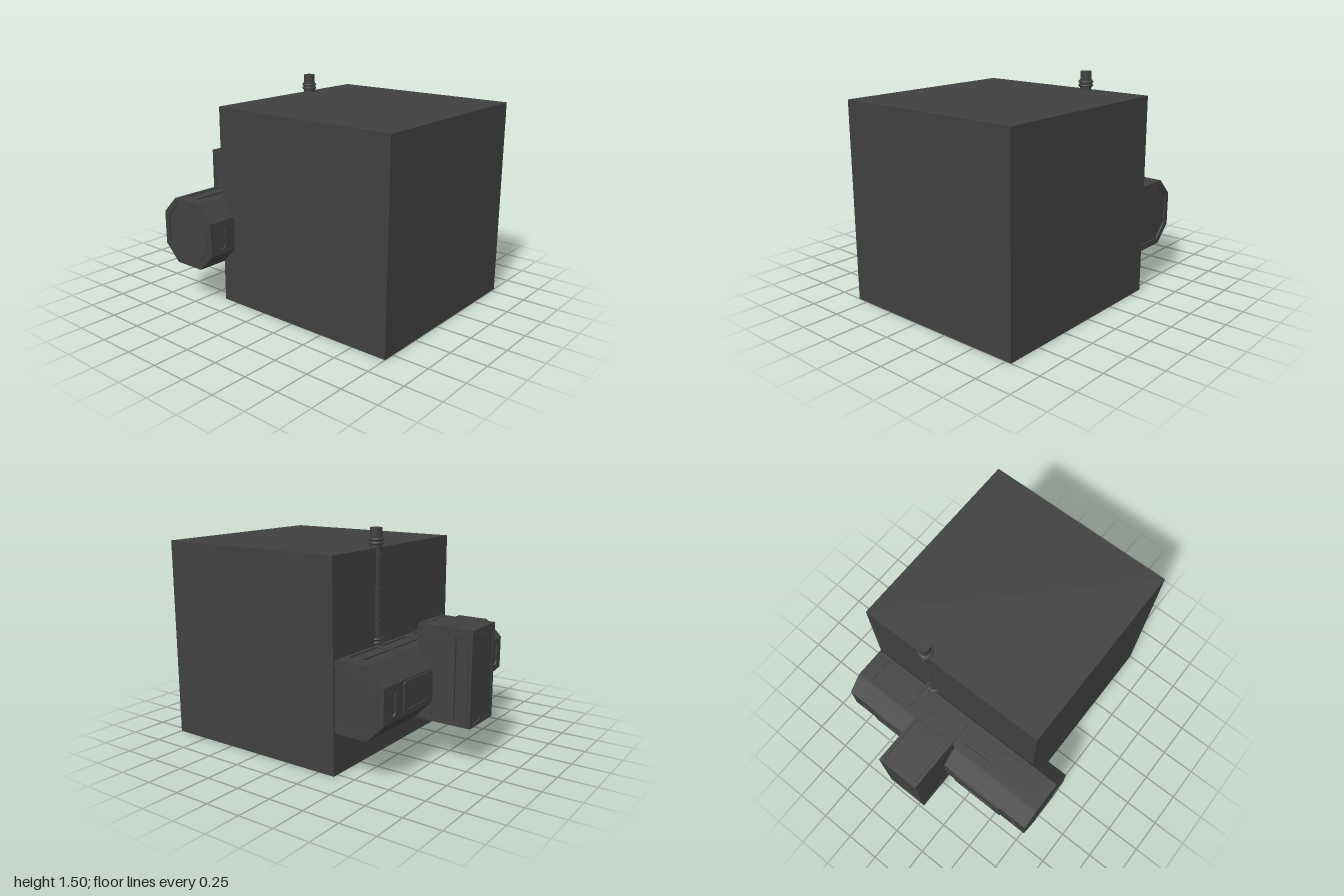
import * as THREE from 'three';

const charcoal = new THREE.MeshStandardMaterial({ color: 0x404040 });
charcoal.name = 'charcoal';
const SKIN = 0.01; // depth of the recessed panels

function add(parent, name, geometry, x = 0, y = 0, z = 0) {
  const mesh = new THREE.Mesh(geometry, charcoal);
  mesh.name = name;
  mesh.position.set(x, y, z);
  parent.add(mesh);
  return mesh;
}

const toPoints = (list) => list.map(([x, y]) => new THREE.Vector2(x, y));

// Rectangle with cut corners
function cutRect(w, h, c = 0, x = 0, y = 0) {
  const a = w / 2, b = h / 2;
  if (!c) return toPoints([[x - a, y - b], [x + a, y - b], [x + a, y + b], [x - a, y + b]]);
  return toPoints([[x - a + c, y - b], [x + a - c, y - b], [x + a, y - b + c], [x + a, y + b - c],
    [x + a - c, y + b], [x - a + c, y + b], [x - a, y + b - c], [x - a, y - b + c]]);
}

// Rectangle with a shallow notch at the middle of its top and bottom edges
function notchedRect(w, h, n = 0.04, d = 0.02) {
  const a = w / 2, b = h / 2, s = n - d / 2;
  return toPoints([[-a, -b], [-n, -b], [-s, -b + d], [s, -b + d], [n, -b], [a, -b],
    [a, b], [n, b], [s, b - d], [-s, b - d], [-n, b], [-a, b]]);
}

// Flat plate whose outer face lies at local z = 0
function plate(outline, holes = [], depth = SKIN) {
  const shape = new THREE.Shape(outline);
  holes.forEach((h) => shape.holes.push(new THREE.Path(h)));
  return new THREE.ExtrudeGeometry(shape, { depth, bevelEnabled: false }).translate(0, 0, -depth);
}

// Eight-sided housing clad with recessed plates
function buildHousing() {
  const group = new THREE.Group();
  group.name = 'housing';
  group.position.set(-0.005, 0.513, -0.495);
  const L = 1.57, R = 0.2325, C = 0.1175;
  const flat = 2 * (R - C), slope = C * Math.SQRT2, slopeR = (2 * R - C) / Math.SQRT2;

  const core = new THREE.ExtrudeGeometry(
    new THREE.Shape(cutRect(2 * (R - SKIN), 2 * (R - SKIN), C - 0.006)),
    { depth: L - 2 * SKIN, bevelEnabled: false });
  core.translate(0, 0, -L / 2 + SKIN).rotateY(Math.PI / 2);
  add(group, 'housingCore', core);

  // Vents in the top and slots near both ends of the front and back
  const vents = [];
  for (const y of [0.048, -0.052])
    for (const [x, w] of [[-0.533, 0.345], [-0.203, 0.3], [0.193, 0.315], [0.535, 0.3]])
      vents.push(cutRect(w, 0.075, 0, x, y));
  const slots = [-0.69, 0.69].map((x) => cutRect(0.072, 0.165, 0.018, x, 0));

  for (let i = 0; i < 8; i++) {
    const angle = (-i * Math.PI) / 4;
    const r = i % 2 ? slopeR : R;
    const holes = i === 2 ? vents : i % 4 === 0 ? slots : [];
    const panel = add(group, 'housingPanel', plate(cutRect(L, i % 2 ? slope : flat), holes),
      0, -Math.sin(angle) * r, Math.cos(angle) * r);
    panel.rotation.x = angle;
  }

  // End rings
  for (const s of [-1, 1]) {
    const ring = add(group, 'endRing',
      plate(cutRect(2 * R, 2 * R, C), [cutRect(0.385, 0.385, 0.095)]), s * L / 2);
    ring.rotation.y = s * Math.PI / 2;
    const cap = add(group, 'endCap', plate(cutRect(0.365, 0.365, 0.09), [], 0.006), s * (L / 2 - 0.005));
    cap.rotation.y = s * Math.PI / 2;
  }

  // Raised back plates with a trapezoid recess
  for (const [x, w] of [[-0.37, 0.41], [0.405, 0.34]]) {
    const trapezoid = toPoints([[-w * 0.36, -0.075], [w * 0.36, -0.075],
      [w * 0.2, 0.03], [-w * 0.2, 0.03]]);
    const back = add(group, 'backPlate', plate(cutRect(w, 0.21, 0.012), [trapezoid]), x, 0, -R - 0.009);
    back.rotation.y = Math.PI;
  }
  add(group, 'topFin', new THREE.BoxGeometry(0.2, 0.03, 0.004), -0.225, R + 0.008, -0.045);
  return group;
}

// Upright box clamped over the middle of the housing
function buildControlBox() {
  const group = new THREE.Group();
  group.name = 'controlBox';
  group.position.set(0.065, 0.585, -0.805);
  const W = 0.31, H = 0.63, D = 0.39;
  add(group, 'boxCore', new THREE.BoxGeometry(W - 2 * SKIN, H - 2 * SKIN, D - 2 * SKIN));

  const faces = [
    ['boxSide', D, H, W / 2, 0, Math.PI / 2],
    ['boxSide', D, H, W / 2, 0, -Math.PI / 2],
    ['boxFront', W, H, D / 2, 0, 0],
    ['boxBack', W, H, D / 2, 0, Math.PI],
    ['boxTop', W, D, H / 2, -Math.PI / 2, 0],
    ['boxBottom', W, D, H / 2, Math.PI / 2, 0],
  ];
  for (const [name, w, h, r, rx, ry] of faces) {
    const skin = add(group, name, plate(cutRect(w, h), [notchedRect(w - 0.045, h - 0.045)]));
    skin.rotation.set(rx, ry, 0);
    skin.position.set(0, 0, 1).applyEuler(skin.rotation).multiplyScalar(r);
    // Panel set almost flush inside the frame
    const inset = add(skin, name + 'Panel', plate(notchedRect(w - 0.054, h - 0.054), [], 0.008));
    inset.position.z = -0.003;
  }

  // Raised side cover and top latch
  const cover = add(group, 'sideCover', plate(notchedRect(0.25, 0.54), [], 0.014), W / 2 + 0.012, 0, 0.04);
  cover.rotation.y = Math.PI / 2;
  add(group, 'topLatch', new THREE.BoxGeometry(0.09, 0.008, 0.045), 0.07, H / 2 - 0.003, -0.005);
  return group;
}

// Vertical pipe with ribbed collars
function buildPipe() {
  const group = new THREE.Group();
  group.name = 'pipe';
  group.position.set(0.305, 0, -0.35);
  add(group, 'pipeTube', new THREE.CylinderGeometry(0.038, 0.038, 0.775, 32), 0, 1.1075, 0);
  for (const y of [0.77, 1.41]) {
    add(group, 'collar', new THREE.CylinderGeometry(0.044, 0.044, 0.05, 32), 0, y, 0);
    for (const dy of [-0.012, 0.012]) {
      const rib = add(group, 'collarRib', new THREE.TorusGeometry(0.044, 0.008, 10, 32), 0, y + dy, 0);
      rib.rotation.x = Math.PI / 2;
    }
  }
  for (const y of [0.9, 1.11, 1.33])
    add(group, 'pipeRivet', new THREE.SphereGeometry(0.007, 10, 8), 0, y, -0.037);
  return group;
}

export function createModel() {
  const model = new THREE.Group();
  model.name = 'blockWithHousing';
  add(model, 'mainBlock', new THREE.BoxGeometry(1.37, 1.37, 1.37), 0.105, 0.685, 0.315);
  model.add(buildHousing(), buildControlBox(), buildPipe());
  return model;
}
